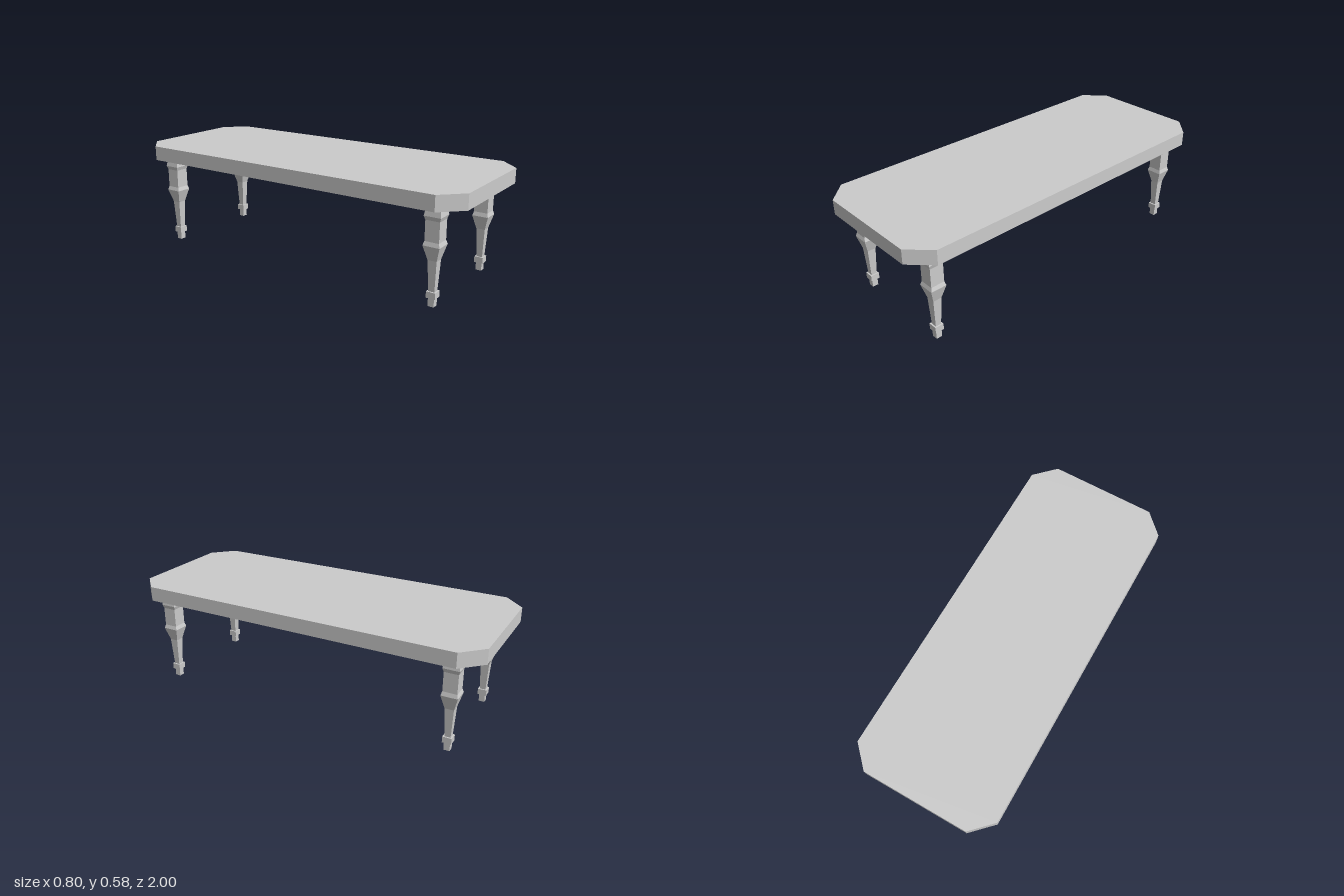
import * as THREE from 'three';

export function createModel() {
  const group = new THREE.Group();
  const material = new THREE.MeshStandardMaterial({ color: 0xcccccc, flatShading: true });

  // Table top: a slab with clipped corners
  const w = 0.4, l = 1, cut = 0.11, bottom = 0.502, thickness = 0.08;
  const outline = new THREE.Shape([
    [w, -l + cut], [w, l - cut], [w - cut, l], [-w + cut, l],
    [-w, l - cut], [-w, -l + cut], [-w + cut, -l], [w - cut, -l],
  ].map(([x, y]) => new THREE.Vector2(x, y)));
  const topGeometry = new THREE.ExtrudeGeometry(outline, { depth: thickness, bevelEnabled: false });
  topGeometry.rotateX(-Math.PI / 2).translate(0, bottom, 0);
  const top = new THREE.Mesh(topGeometry, material);
  top.name = 'tableTop';
  group.add(top);

  // Square leg profile: [half width, height] from foot to top
  const profile = [
    [0, 0], [0.016, 0], [0.016, 0.044],                  // foot
    [0.024, 0.044], [0.024, 0.077], [0.016, 0.077],      // collar
    [0.0235, 0.235], [0.0435, 0.309],                    // taper and lower flare
    [0.0372, 0.33], [0.0372, 0.433],                     // straight block
    [0.0435, 0.453], [0.035, bottom], [0, bottom],       // upper flare
  ].map(([half, y]) => new THREE.Vector2(half * Math.SQRT2, y));
  const legGeometry = new THREE.LatheGeometry(profile, 4, Math.PI / 4);

  // Four legs near the corners
  for (const [endName, sz] of [['front', 1], ['back', -1]]) {
    for (const [sideName, sx] of [['Left', 1], ['Right', -1]]) {
      const leg = new THREE.Mesh(legGeometry, material);
      leg.name = `${endName}${sideName}Leg`;
      leg.position.set(sx * 0.2833, 0, sz * 0.845);
      group.add(leg);
    }
  }
  return group;
}
